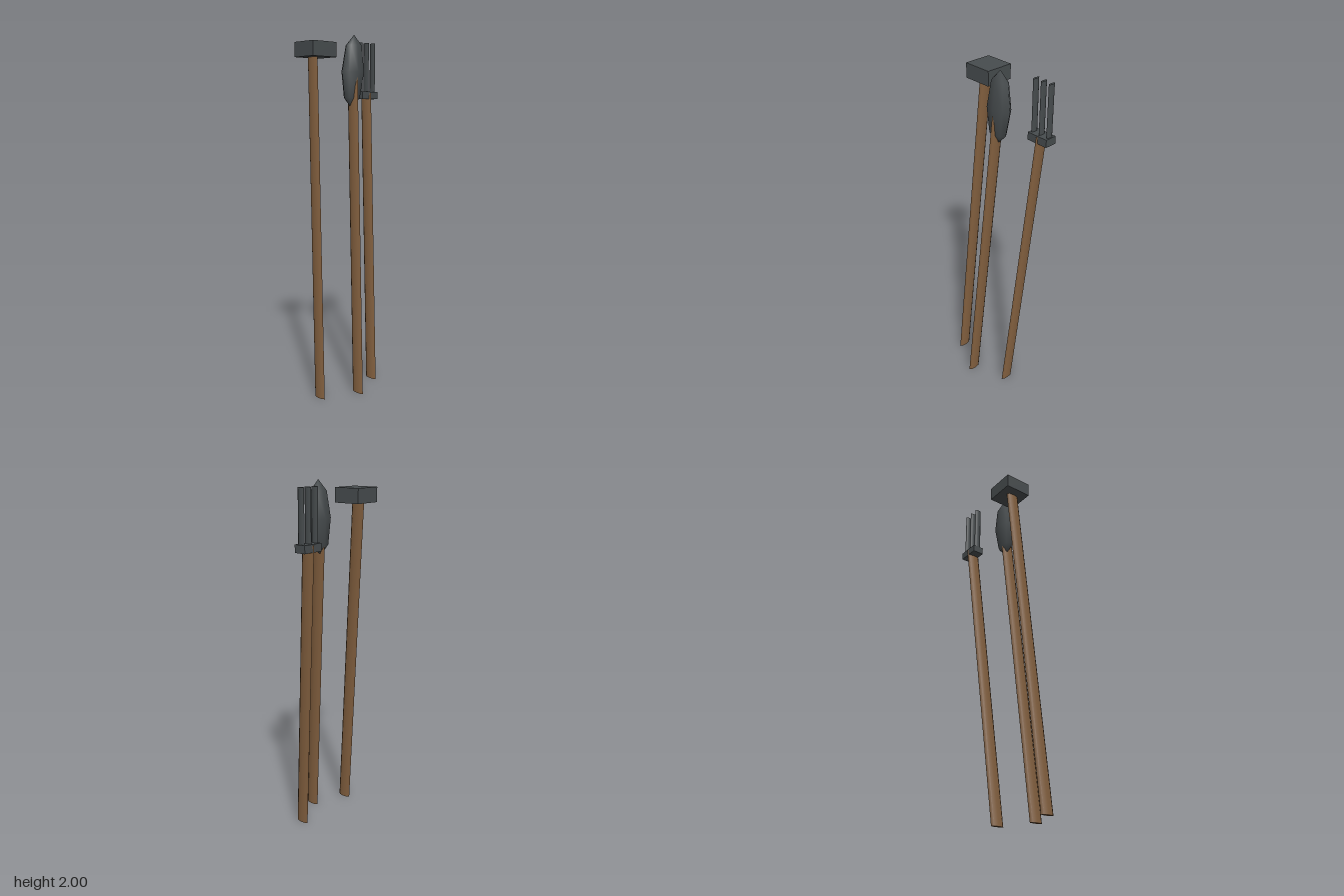
import * as THREE from 'three';

export function createModel() {
  const model = new THREE.Group();
  const wood = new THREE.MeshStandardMaterial({ color: 0x83603f });
  wood.name = 'wood';
  const metal = new THREE.MeshStandardMaterial({ color: 0x474c4e });
  metal.name = 'dark metal';

  function part(parent, name, geometry, material, x = 0, y = 0, z = 0) {
    const mesh = new THREE.Mesh(geometry, material);
    mesh.name = name;
    mesh.position.set(x, y, z);
    parent.add(mesh);
    return mesh;
  }

  // Slide a geometry sideways in proportion to its height
  const lean = (geometry, dx, dz) => geometry.applyMatrix4(
    new THREE.Matrix4().set(1, dx, 0, 0, 0, 1, 0, 0, 0, dz, 1, 0, 0, 0, 0, 1));

  // Rod with an oval section, three times deeper than wide
  const rod = (rx, rz, height) =>
    new THREE.CylinderGeometry(1, 1, height, 8).scale(rx, 1, rz);

  // A leaning handle running from its foot to its top
  function handle(parent, name, [x0, z0], [x1, height, z1]) {
    const geometry = lean(rod(0.0135, 0.04, height), (x1 - x0) / height, (z1 - z0) / height);
    part(parent, name, geometry, wood, (x0 + x1) / 2, height / 2, (z0 + z1) / 2);
  }

  function tool(name) {
    const group = new THREE.Group();
    group.name = name;
    model.add(group);
    return group;
  }

  // Hoe with a block head set off to one side
  const hoe = tool('hoe');
  handle(hoe, 'hoeHandle', [-0.273, 0.039], [-0.187, 1.89, -0.1]);
  part(hoe, 'hoeHead', new THREE.BoxGeometry(0.167, 0.08, 0.156), metal, -0.1665, 1.915, -0.1);

  // Shovel with a faceted oval blade
  const shovel = tool('shovel');
  handle(shovel, 'shovelHandle', [-0.07, 0.135], [0.016, 1.8, 0]);
  const blade = lean(new THREE.SphereGeometry(1, 8, 4).scale(0.08, 0.2, 0.044), 0.05, 0);
  part(shovel, 'shovelBlade', blade, metal, 0.018, 1.8, 0);

  // Fork with three tines on a crossbar
  const fork = tool('fork');
  handle(fork, 'forkHandle', [0.133, 0.039], [0.222, 1.69, -0.1]);
  part(fork, 'forkCrossbar', new THREE.BoxGeometry(0.127, 0.042, 0.067), metal, 0.222, 1.676, -0.1);
  for (const side of [-1, 0, 1]) {
    part(fork, 'forkTine', rod(0.0072, 0.021, 0.29), metal, 0.222 + side * 0.051, 1.83, -0.1);
  }

  return model;
}
